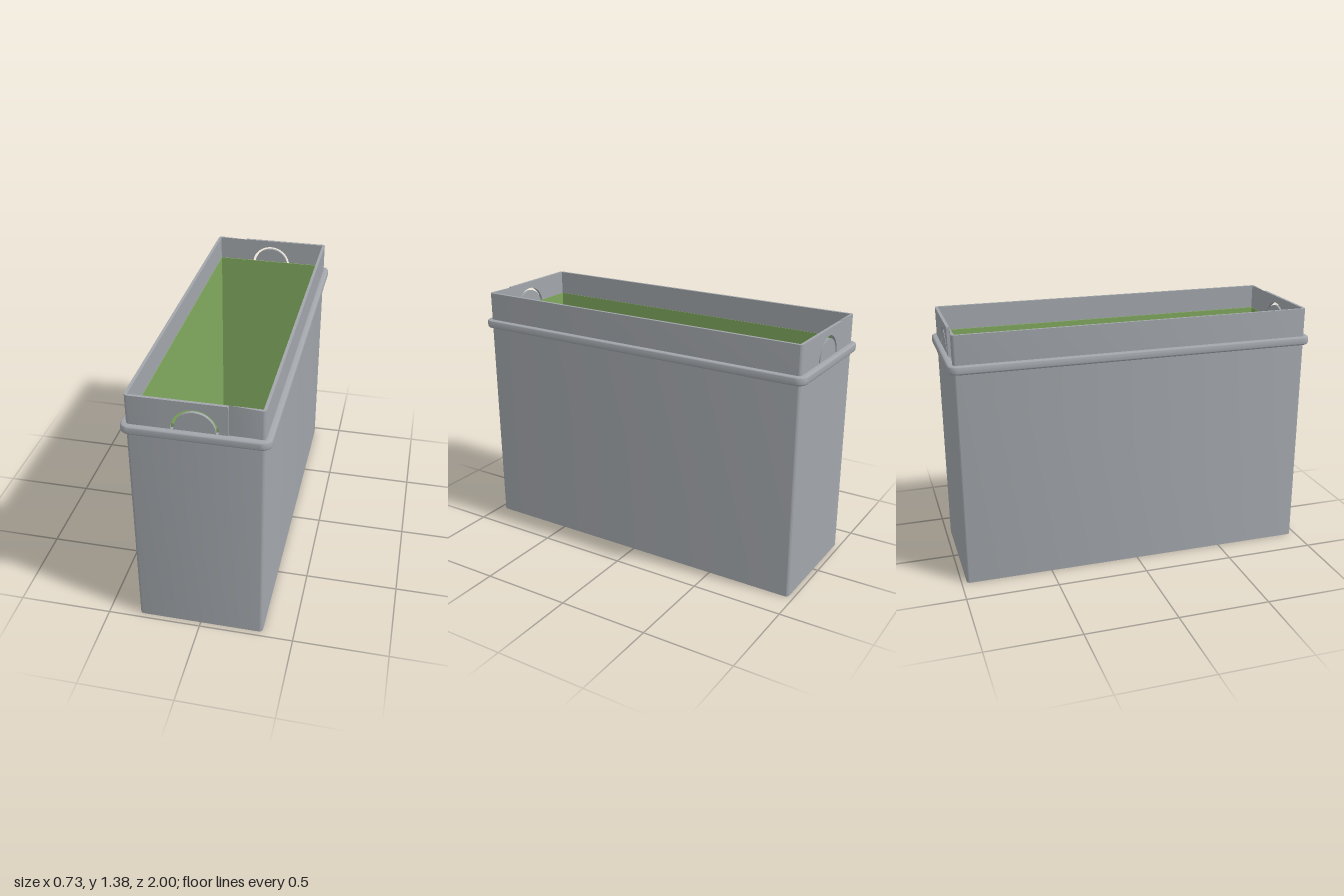
import * as THREE from 'three';
import { toCreasedNormals } from 'three/addons/utils/BufferGeometryUtils.js';

const W = 0.335, D = 0.972;       // outer half width and half depth of the body
const T = 0.016;                  // wall thickness
const H = 1.38, SPLIT = 1.2;      // full height, start of the upper wall
const END = 0.16;                 // half width of the slotted end panels

const grey = new THREE.MeshStandardMaterial({ color: 0xa2a6ab });
grey.name = 'grey plastic';
const green = new THREE.MeshStandardMaterial({ color: 0x80a85e });
green.name = 'green lining';

// Rounded rectangle, w and d are half sizes
function roundRect(path, w, d, r) {
  path.moveTo(w - r, -d);
  path.absarc(w - r, -d + r, r, -Math.PI / 2, 0, false);
  path.absarc(w - r, d - r, r, 0, Math.PI / 2, false);
  path.absarc(-w + r, d - r, r, Math.PI / 2, Math.PI, false);
  path.absarc(-w + r, -d + r, r, Math.PI, Math.PI * 1.5, false);
  path.closePath();
  return path;
}

// Plan shape raised from y0 to y1
function raise(shape, y0, y1, bevel = 0) {
  const g = new THREE.ExtrudeGeometry(shape, {
    depth: y1 - y0 - 2 * bevel, curveSegments: 8, bevelEnabled: bevel > 0,
    bevelSize: bevel, bevelThickness: bevel, bevelOffset: -bevel, bevelSegments: 4,
  });
  g.rotateX(-Math.PI / 2).translate(0, y0 + bevel, 0);
  return toCreasedNormals(g, 0.7);
}

export function createModel() {
  const model = new THREE.Group();
  model.name = 'wasteBin';
  const add = (name, geo, mat = grey) => {
    const m = new THREE.Mesh(geo, mat);
    m.name = name;
    model.add(m);
    return m;
  };
  const box = (name, sx, sy, sz, x, y, z, mat) =>
    add(name, new THREE.BoxGeometry(sx, sy, sz).translate(x, y, z), mat);

  // Lower walls and floor
  const ring = roundRect(new THREE.Shape(), W, D, 0.02);
  ring.holes.push(roundRect(new THREE.Path(), W - T, D - T, 0.008));
  add('lowerWalls', raise(ring, 0, SPLIT));
  box('floor', 2 * (W - T), 0.03, 2 * (D - T), 0, 0.015, 0);

  // Upper side walls, wrapping round the corners to the end panels
  for (const s of [1, -1]) {
    const r = 0.02, w = W - T, d = D - T;
    const c = new THREE.Shape();
    c.moveTo(END, -D);
    c.absarc(W - r, -D + r, r, -Math.PI / 2, 0, false);
    c.absarc(W - r, D - r, r, 0, Math.PI / 2, false);
    c.lineTo(END, D);
    c.lineTo(END, d);
    c.lineTo(w, d);
    c.lineTo(w, -d);
    c.lineTo(END, -d);
    c.closePath();
    const g = raise(c, SPLIT, H);
    if (s < 0) g.rotateY(Math.PI);
    add(s > 0 ? 'leftUpperWall' : 'rightUpperWall', g);
  }

  // End panels with an arched grip slot
  for (const s of [1, -1]) {
    const p = new THREE.Shape();
    p.moveTo(-END, SPLIT);
    p.lineTo(END, SPLIT);
    p.lineTo(END, H);
    p.lineTo(-END, H);
    p.closePath();
    const slot = new THREE.Path();
    slot.absarc(0, 1.226, 0.116, 0, Math.PI, false);
    slot.absarc(0, 1.226, 0.101, Math.PI, 0, true);
    slot.closePath();
    p.holes.push(slot);
    const g = new THREE.ExtrudeGeometry(p, { depth: T, bevelEnabled: false, curveSegments: 28 });
    g.translate(0, 0, D - T);
    if (s < 0) g.rotateY(Math.PI);
    add(s > 0 ? 'frontGripPanel' : 'backGripPanel', toCreasedNormals(g, 0.5));
  }

  // Rounded band round the outside
  const band = roundRect(new THREE.Shape(), 0.364, 1.0, 0.05);
  band.holes.push(roundRect(new THREE.Path(), W - 0.012, D - 0.012, 0.02));
  add('rimBand', raise(band, 1.18, 1.225, 0.011));

  // Green lining on the inner walls, up to just above the band
  const top = 1.247, y0 = 0.03, h = top - y0, y = (top + y0) / 2;
  const iw = W - T, id = D - T;
  box('leftLining', 0.008, h, 2 * id, iw - 0.004, y, 0, green);
  box('rightLining', 0.003, h, 2 * id, -iw + 0.0015, y, 0, green);
  box('backLining', 2 * iw, h, 0.006, 0, y, -id + 0.003, green);
  box('frontLining', 2 * iw, h, 0.003, 0, y, id - 0.0015, green);

  // Low ribs with sloping sides across the floor
  const rib = (name, length) => {
    const s = new THREE.Shape();
    s.moveTo(-0.017, 0);
    s.lineTo(0.017, 0);
    s.lineTo(0.007, 0.03);
    s.lineTo(-0.007, 0.03);
    s.closePath();
    const g = new THREE.ExtrudeGeometry(s, { depth: length, bevelEnabled: false });
    return add(name, g.translate(0, 0.03, -length / 2));
  };
  rib('longFloorRib', 2 * id - 0.02);
  for (let i = -2; i <= 2; i++) {
    const m = rib('crossFloorRib', 2 * iw - 0.02);
    m.rotation.y = Math.PI / 2;
    m.position.z = i * 0.32 - 0.003;
  }
  return model;
}
